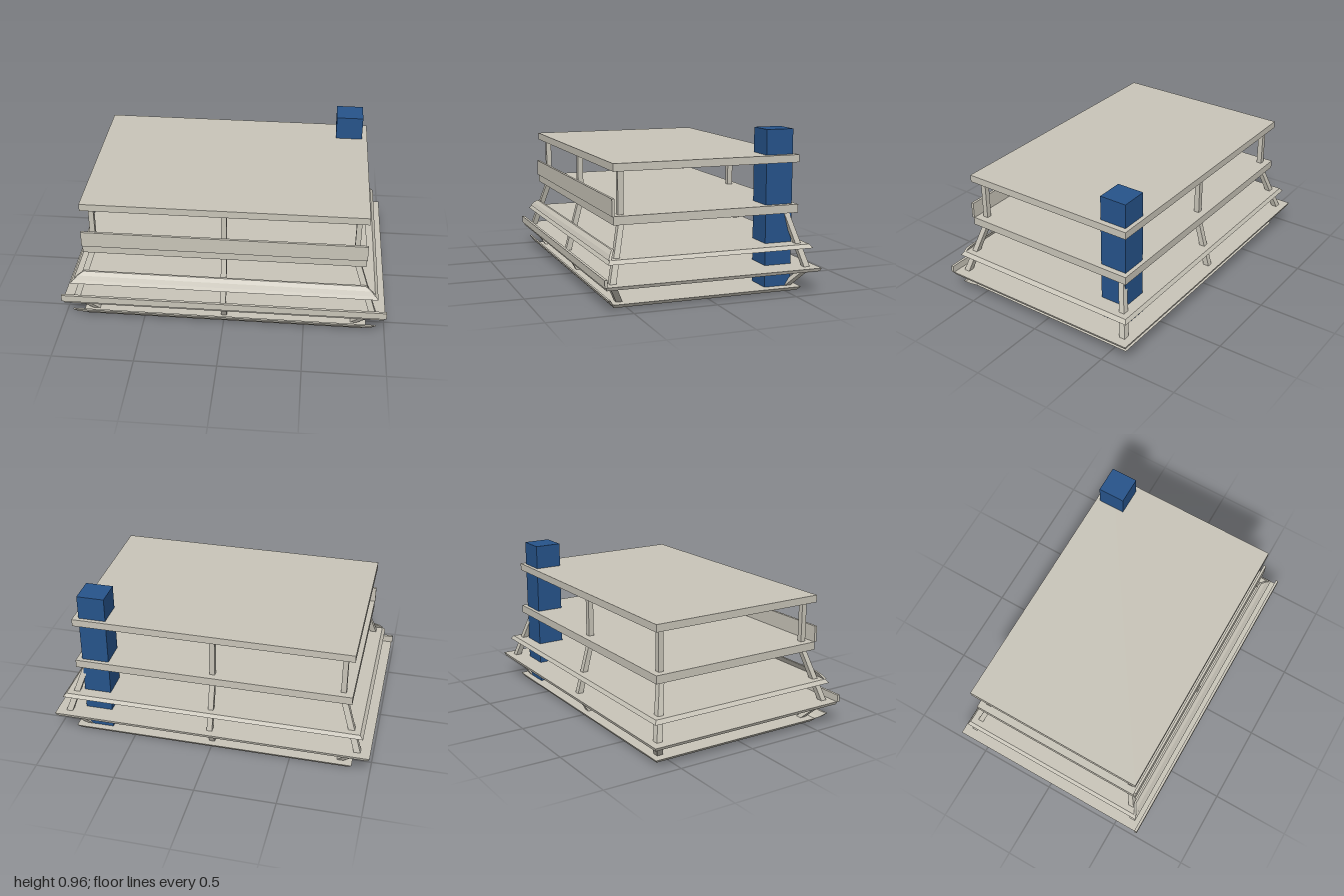
import * as THREE from 'three';

const concrete = new THREE.MeshStandardMaterial({ color: 0xc8c4b8, flatShading: true });
const blue = new THREE.MeshStandardMaterial({ color: 0x26538a, flatShading: true });

// Solid lofted through rectangular levels [y, x0, x1, z0, z1], listed bottom to top
function loft(name, levels, material = concrete) {
  const n = levels.length - 1;
  const box = new THREE.BoxGeometry(1, 1, 1, 1, n, 1);
  const p = box.attributes.position;
  for (let i = 0; i < p.count; i++) {
    const [y, x0, x1, z0, z1] = levels[Math.round((p.getY(i) + 0.5) * n)];
    p.setXYZ(i, p.getX(i) < 0 ? x0 : x1, y, p.getZ(i) < 0 ? z0 : z1);
  }
  const geometry = box.toNonIndexed();
  geometry.computeVertexNormals();
  const mesh = new THREE.Mesh(geometry, material);
  mesh.name = name;
  return mesh;
}

// Level symmetric in x
const level = (y, x, z0, z1) => [y, -x, x, z0, z1];

export function createModel() {
  const model = new THREE.Group();
  model.name = 'building';

  // Floor slabs with bevelled edges, and the roof
  model.add(
    loft('groundSlab', [level(0, 0.86, -0.575, 0.57), level(0.024, 0.885, -0.593, 0.588)]),
    loft('firstSlab', [level(0.136, 0.985, -0.66, 0.652), level(0.156, 0.995, -0.667, 0.658)]),
    loft('secondSlab', [level(0.268, 0.945, -0.635, 0.628), level(0.29, 0.925, -0.62, 0.613)]),
    loft('thirdSlab', [level(0.47, 0.86, -0.575, 0.57), level(0.52, 0.86, -0.575, 0.57)]),
    loft('roofSlab', [level(0.77, 0.86, -0.575, 0.57), level(0.815, 0.86, -0.575, 0.57)])
  );

  // Front parapets: flared, upright, inward-leaning, upright
  model.add(
    loft('groundParapet', [
      level(0.024, 0.885, 0.577, 0.59), level(0.04, 0.91, 0.595, 0.612), level(0.068, 0.942, 0.616, 0.629)
    ]),
    loft('firstParapet', [level(0.156, 1, 0.65, 0.667), level(0.2, 1, 0.65, 0.667)]),
    loft('secondParapet', [
      level(0.29, 0.925, 0.605, 0.62), level(0.315, 0.9, 0.59, 0.605), level(0.335, 0.865, 0.572, 0.584)
    ]),
    loft('thirdParapet', [level(0.52, 0.863, 0.564, 0.58), level(0.62, 0.863, 0.564, 0.58)])
  );

  // Column storeys: [y, inner x, outer x, inner z, outer z] at bottom and top
  const storeys = [
    ['lowerColumn', [0.024, 0.79, 0.83, 0.51, 0.548], [0.136, 0.88, 0.935, 0.577, 0.615]],
    ['middleColumn', [0.156, 0.895, 0.935, 0.58, 0.617], [0.47, 0.787, 0.825, 0.497, 0.53]],
    ['upperColumn', [0.52, 0.785, 0.817, 0.497, 0.53], [0.77, 0.785, 0.817, 0.497, 0.53]]
  ];
  for (const [name, ...ends] of storeys) {
    for (const side of [-1, 0, 1]) {
      for (const front of [-1, 1]) {
        model.add(loft(name, ends.map(([y, xi, xo, zi, zo]) => {
          const [x0, x1] = side === 0 ? [-0.017, 0.017] : side < 0 ? [-xo, -xi] : [xi, xo];
          const [z0, z1] = front < 0 ? [-zo - 0.003, -zi - 0.003] : [zi, zo];
          return [y, x0, x1, z0, z1];
        })));
      }
    }
  }

  // Service tower rising through every floor
  model.add(loft('tower', [[0.02, 0.655, 0.825, -0.55, -0.38], [0.965, 0.655, 0.825, -0.55, -0.38]], blue));

  return model;
}
